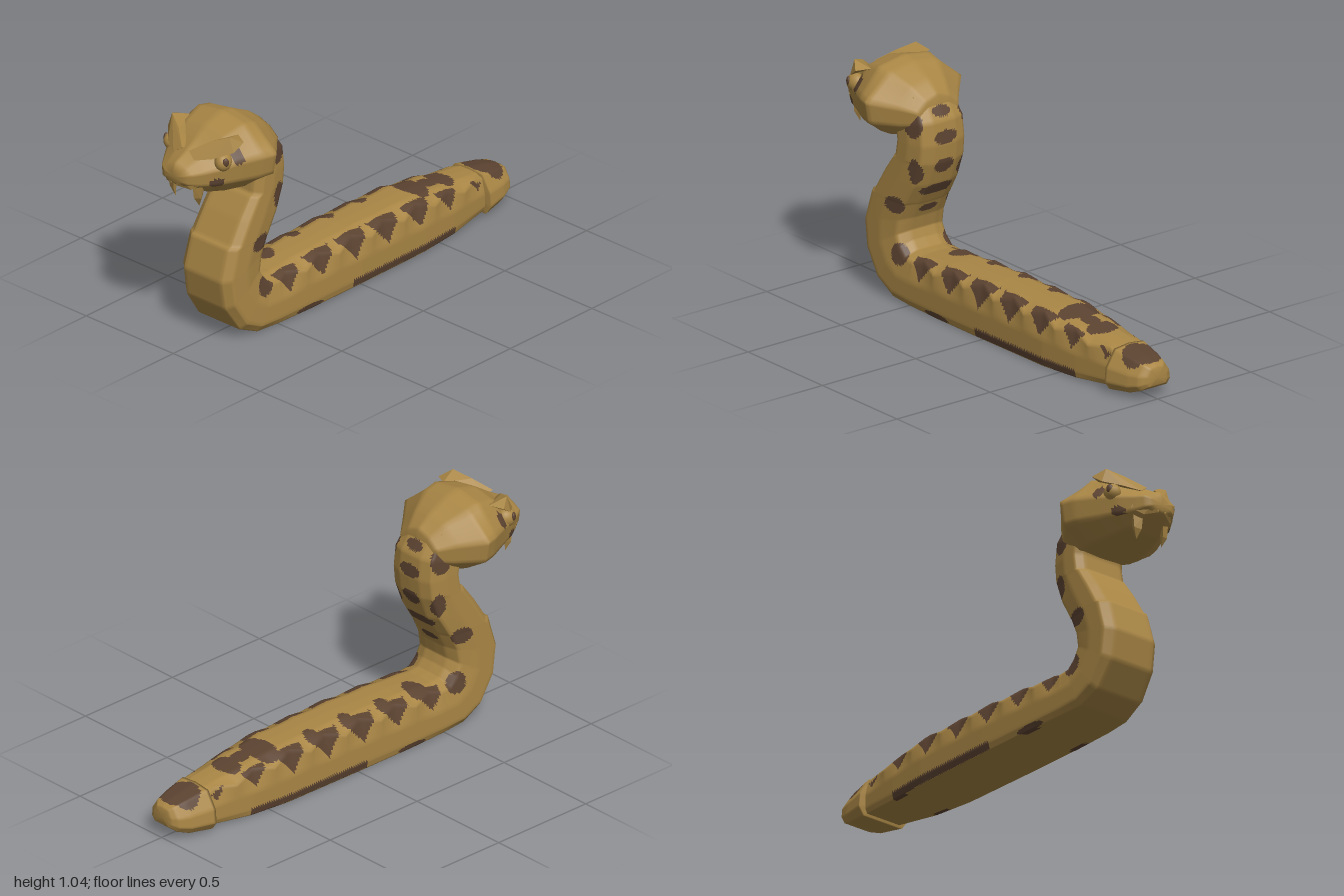
import * as THREE from 'three';
import { ConvexGeometry } from 'three/addons/geometries/ConvexGeometry.js';

const tan = new THREE.MeshStandardMaterial({ color: 0xa98645 });
tan.name = 'tan scales';
const brown = new THREE.MeshStandardMaterial({ color: 0x5c4331 });
brown.name = 'brown markings';

const mix = (a, b, t) => a + (b - a) * t;

// Inserts evenly spaced rows between key rows of numbers.
function refine(keys, step) {
  const rows = [];
  for (let i = 0; i < keys.length - 1; i++) {
    const a = keys[i], b = keys[i + 1];
    const n = Math.max(1, Math.ceil(Math.max(...a.map((v, k) => Math.abs(b[k] - v))) / step));
    for (let s = 0; s < n; s++) rows.push(a.map((v, k) => mix(v, b[k], s / n)));
  }
  rows.push(keys[keys.length - 1]);
  return rows;
}

// Skins half profiles (bottom centre to top centre, x >= 0), mirrored in x.
function loft(name, halves, isBrown) {
  const pos = [], m = 6;
  const rings = halves.map((half) => {
    const mirrored = half.slice(1, -1).reverse().map(([x, y, z]) => [-x, y, z]);
    const corners = [...half, ...mirrored], ring = [];
    corners.forEach((p, i) => {
      const q = corners[(i + 1) % corners.length];
      for (let s = 0; s < m; s++) ring.push(p.map((v, k) => mix(v, q[k], s / m)));
    });
    return ring;
  });
  const n = rings[0].length;
  rings.forEach((r) => r.forEach((p) => pos.push(...p)));
  const groups = [[], []];
  const tri = (...t) => {
    const c = [0, 1, 2].map((k) => (pos[t[0] * 3 + k] + pos[t[1] * 3 + k] + pos[t[2] * 3 + k]) / 3);
    groups[isBrown(...c) ? 1 : 0].push(...t);
  };
  for (let i = 0; i < rings.length - 1; i++) {
    for (let j = 0; j < n; j++) {
      const a = i * n + j, b = i * n + (j + 1) % n;
      tri(a, b, b + n);
      tri(a, b + n, a + n);
    }
  }
  // flat end caps
  [0, rings.length - 1].forEach((r) => {
    const c = [0, 1, 2].map((k) => rings[r].reduce((sum, p) => sum + p[k], 0) / n);
    const id = pos.length / 3;
    pos.push(...c);
    for (let j = 0; j < n; j++) {
      const a = r * n + j, b = r * n + (j + 1) % n;
      if (r === 0) tri(id, b, a); else tri(id, a, b);
    }
  });
  const geo = new THREE.BufferGeometry();
  geo.setAttribute('position', new THREE.Float32BufferAttribute(pos, 3));
  geo.setIndex([...groups[0], ...groups[1]]);
  geo.addGroup(0, groups[0].length, 0);
  geo.addGroup(groups[0].length, groups[1].length, 1);
  geo.computeVertexNormals();
  const mesh = new THREE.Mesh(geo, [tan, brown]);
  mesh.name = name;
  return mesh;
}

// Markings: ellipsoids [x, y, z, rx, ry, rz] that stain the skin they touch.
const pairedSpots = [
  [0.13, 0.81, 0.49, 0.05, 0.06, 0.05], [0.13, 0.6, 0.48, 0.05, 0.06, 0.035],
  [0.14, 0.42, 0.6, 0.04, 0.04, 0.06], [0.14, 0.21, 0.57, 0.05, 0.05, 0.05],
  [0.14, 0.01, 0.31, 0.03, 0.015, 0.08],
];
const backSpots = [
  [0, 0.86, 0.44, 0.05, 0.025, 0.05], [0, 0.75, 0.42, 0.06, 0.03, 0.05],
  [0, 0.62, 0.43, 0.05, 0.035, 0.05], [0, 0.5, 0.47, 0.1, 0.03, 0.05],
  [0, 0.4, 0.53, 0.05, 0.02, 0.05], [-0.08, 0.23, 0.39, 0.08, 0.05, 0.05],
  [-0.1, 0.24, 0.19, 0.06, 0.05, 0.035], [-0.1, 0.24, -0.02, 0.06, 0.05, 0.035],
  [-0.1, 0.24, -0.22, 0.06, 0.05, 0.035], [0, 0.22, -0.63, 0.08, 0.05, 0.05],
  [0, 0.22, -0.55, 0.04, 0.05, 0.05], [-0.02, 0.23, -0.46, 0.11, 0.05, 0.06],
];
const hit = (x, y, z) => ([a, b, c, rx, ry, rz]) =>
  ((x - a) / rx) ** 2 + ((y - b) / ry) ** 2 + ((z - c) / rz) ** 2 < 1;

// Distance to the nearest flank marking, 0 at its middle and 1 halfway to the next.
const wave = (z) => {
  const t = (((0.43 - z) / 0.2) % 1 + 1) % 1;
  return 2 * Math.min(t, 1 - t);
};
function bodyMark(x, y, z) {
  if (y < 0.26 && z < 0.53 && z > -0.8 && Math.abs(x) > 0.085 &&
    wave(z) * 0.1 < 0.075 * (y - 0.13) / 0.09) return true;
  if (y > 0.003 && y < 0.038 && z > -0.6 && z < 0.05 && Math.abs(x) > 0.1) return true;
  return pairedSpots.some(hit(Math.abs(x), y, z)) || backSpots.some(hit(x, y, z));
}

// Body rows: belly z, y, back z, y, half width, belly share of the width.
const bodyKeys = [
  [-0.83, 0.025, -0.83, 0.185, 0.095, 0.9], [-0.6, 0.005, -0.6, 0.215, 0.125, 0.95],
  [-0.4, 0, -0.4, 0.24, 0.142, 0.95], [0, 0, 0, 0.245, 0.147, 0.95],
  [0.3, 0, 0.3, 0.235, 0.147, 0.95], [0.5, 0, 0.48, 0.22, 0.147, 0.9],
  [0.62, 0.005, 0.53, 0.225, 0.147, 0.85], [0.72, 0.05, 0.56, 0.26, 0.146, 0.8],
  [0.8, 0.17, 0.575, 0.3, 0.143, 0.75], [0.82, 0.3, 0.56, 0.36, 0.142, 0.74],
  [0.778, 0.442, 0.525, 0.43, 0.14, 0.74], [0.762, 0.45, 0.52, 0.437, 0.14, 0.74],
  [0.7, 0.55, 0.465, 0.53, 0.136, 0.74], [0.637, 0.637, 0.43, 0.63, 0.133, 0.74],
  [0.62, 0.645, 0.428, 0.64, 0.133, 0.74], [0.607, 0.72, 0.42, 0.72, 0.132, 0.74],
  [0.62, 0.8, 0.43, 0.82, 0.13, 0.74], [0.68, 0.86, 0.5, 0.93, 0.115, 0.74],
];
function bodyProfile([bz, by, kz, ky, w, f]) {
  // the upper edge of the trunk zigzags between the markings
  const ridge = kz < 0.49 && ky < 0.26 ? wave(kz) : 0.5;
  return [[0, 0], [f, 0], [1, 0.13], [1, 0.5], [mix(0.76, 0.97, ridge), mix(0.95, 0.82, ridge)], [0.45, 0.99], [0, 1]]
    .map(([x, t]) => [x * w, mix(by, ky, t), mix(bz, kz, t)]);
}

// Tail rows: z, top, bottom, half width.
const tailKeys = [
  [-1, 0.14, 0.065, 0.05], [-0.975, 0.158, 0.045, 0.085], [-0.92, 0.173, 0.025, 0.105],
  [-0.805, 0.195, 0.012, 0.13],
];
const tailProfile = ([z, top, bot, w]) =>
  [[0, 0], [0.8, 0], [1, 0.2], [0.95, 0.55], [0.6, 0.95], [0, 1]]
    .map(([x, t]) => [x * w, mix(bot, top, t), z]);

// Head rows: z, top, bottom, half width, widest y, crown half width, jaw half width, cheek y.
const headKeys = [
  [0.47, 0.92, 0.78, 0.105, 0.86, 0.06, 0.08, 0.81], [0.54, 0.975, 0.745, 0.165, 0.88, 0.09, 0.1, 0.8],
  [0.64, 1.025, 0.72, 0.257, 0.9, 0.13, 0.12, 0.8], [0.7, 1.038, 0.72, 0.24, 0.9, 0.135, 0.13, 0.8],
  [0.8, 1.01, 0.73, 0.19, 0.89, 0.12, 0.11, 0.8], [0.88, 0.955, 0.745, 0.152, 0.875, 0.075, 0.085, 0.8],
  [0.94, 0.92, 0.775, 0.112, 0.865, 0.06, 0.06, 0.805], [0.985, 0.9, 0.795, 0.08, 0.86, 0.05, 0.04, 0.815],
  [1, 0.875, 0.81, 0.05, 0.85, 0.03, 0.025, 0.825],
];
const headProfile = ([z, top, bot, w, yw, tw, bw, yl]) => [
  [0, bot, z], [bw, bot + 0.005, z], [w * 0.93, yl, z], [w, yw, z], [tw, top - 0.022, z], [0, top, z],
];

function convex(name, points, side, material) {
  const mesh = new THREE.Mesh(
    new ConvexGeometry(points.map(([x, y, z]) => new THREE.Vector3(x * side, y, z))), material);
  mesh.name = name;
  return mesh;
}

function ball(name, p, s, turn, material) {
  const mesh = new THREE.Mesh(new THREE.SphereGeometry(1, 16, 12), material);
  mesh.position.set(...p);
  mesh.scale.set(...s);
  mesh.rotation.y = turn;
  mesh.name = name;
  return mesh;
}

export function createModel() {
  const model = new THREE.Group();
  model.name = 'snake';
  model.add(loft('body', refine(bodyKeys, 0.012).map(bodyProfile), bodyMark));
  model.add(loft('tailTip', refine(tailKeys, 0.012).map(tailProfile),
    (x, y, z) => y > 0.1 && hit(x, 0, z)([0, 0, -0.895, 0.088, 1, 0.08])));
  model.add(loft('head', refine(headKeys, 0.015).map(headProfile),
    (x, y, z) => hit(Math.abs(x), y, z)([0.14, 0.81, 0.88, 0.04, 0.022, 0.03]) ||
      hit(Math.abs(x), y, z)([0.185, 0.925, 0.795, 0.04, 0.045, 0.025])));

  for (const side of [1, -1]) {
    // slanted brow ridge over the eye
    model.add(convex('brow', [
      [0.02, 0.937, 0.925], [0.06, 0.908, 0.935], [0.025, 0.93, 0.88], [0.09, 0.985, 0.87], [0.165, 1.015, 0.83],
      [0.2, 0.985, 0.78], [0.188, 0.95, 0.83], [0.13, 0.925, 0.895], [0.14, 0.99, 0.75],
    ], side, tan));
    // eye with its pupil
    model.add(ball('eye', [side * 0.143, 0.9, 0.845], [0.036, 0.042, 0.045], side * 0.3, tan));
    model.add(ball('pupil', [side * 0.172, 0.91, 0.862], [0.009, 0.02, 0.015], side * -0.5, brown));
    // nostril lobe and upper lip
    model.add(convex('snoutLobe', [
      [0.015, 0.86, 0.997], [0.05, 0.875, 0.985], [0.1, 0.865, 0.95], [0.115, 0.815, 0.93],
      [0.07, 0.785, 0.965], [0.015, 0.8, 0.997], [0.05, 0.83, 0.997], [0.05, 0.82, 0.9],
    ], side, tan));
    // curved fang
    model.add(convex('fang', [
      [0.055, 0.785, 0.94], [0.095, 0.79, 0.925], [0.08, 0.785, 0.89], [0.058, 0.73, 0.935],
      [0.09, 0.735, 0.925], [0.075, 0.735, 0.9], [0.068, 0.69, 0.912],
    ], side, tan));
  }
  return model;
}
